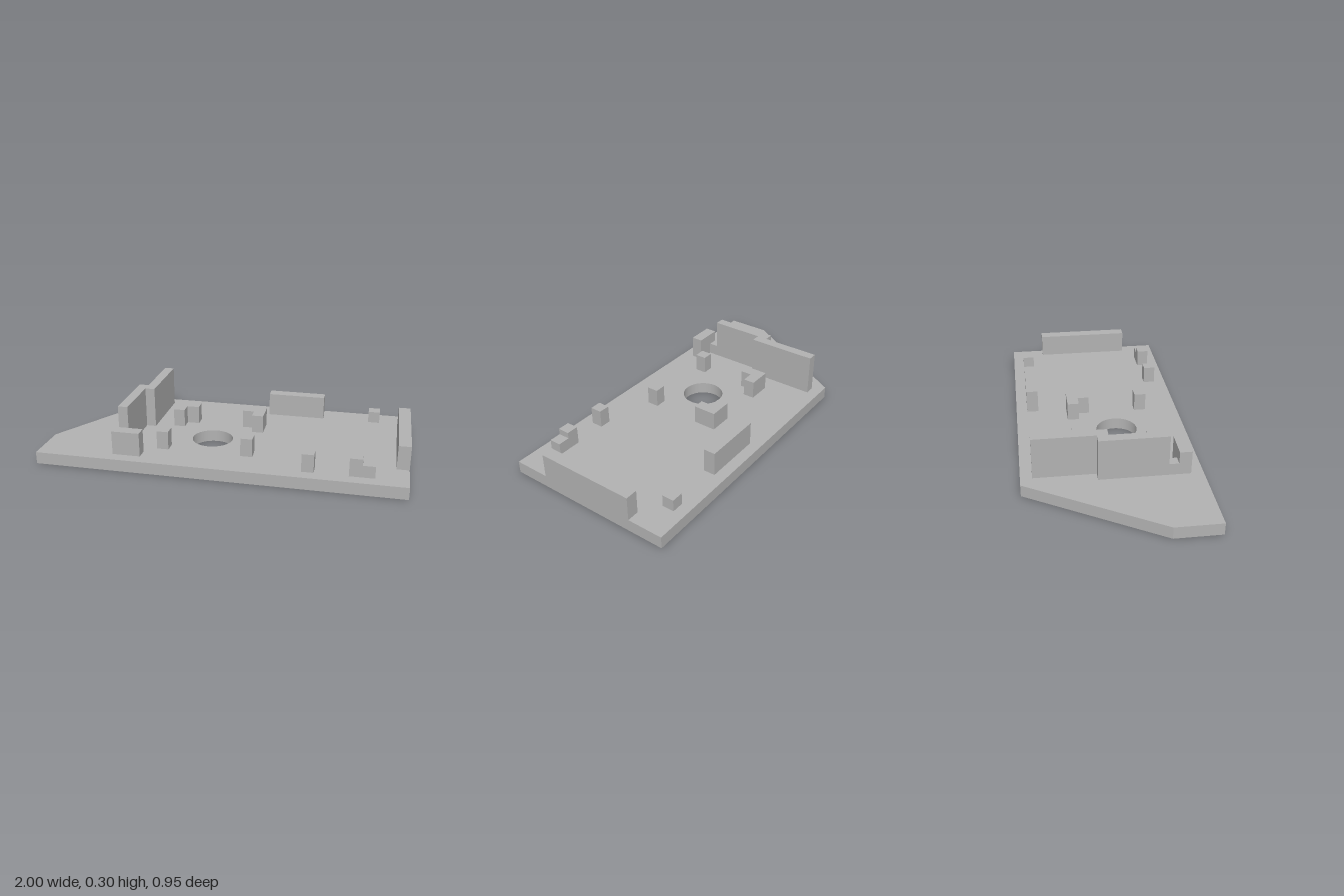
import * as THREE from 'three';

const BASE_TOP = 0.067;

// Shape from plan points given as [x, z]
const plan = (points) => new THREE.Shape(points.map(([x, z]) => new THREE.Vector2(x, -z)));

// Extrude a plan shape upwards between two heights
function prism(shape, y0, y1) {
  const geometry = new THREE.ExtrudeGeometry(shape, { depth: y1 - y0, bevelEnabled: false, curveSegments: 48 });
  geometry.rotateX(-Math.PI / 2);
  geometry.translate(0, y0, 0);
  return geometry;
}

export function createModel() {
  const group = new THREE.Group();
  const grey = new THREE.MeshStandardMaterial({ color: 0xb2b2b2 });
  grey.name = 'grey';

  const add = (name, geometry) => {
    const mesh = new THREE.Mesh(geometry, grey);
    mesh.name = name;
    group.add(mesh);
  };
  const raised = (name, points, top) => add(name, prism(plan(points), BASE_TOP, top));
  const block = (name, x0, x1, z0, z1, top) =>
    raised(name, [[x0, z1], [x1, z1], [x1, z0], [x0, z0]], top);

  // Base plate with one cut corner and a round hole
  const base = plan([[-1, 0.475], [1, 0.475], [1, -0.475], [-0.58, -0.475], [-1, 0.225]]);
  base.holes.push(new THREE.Path().absarc(-0.096, -0.087, 0.115, 0, Math.PI * 2, true));
  add('basePlate', prism(base, 0, BASE_TOP));

  // Tall wall with a sideways jog
  raised('tallWall', [
    [-0.58, 0.29], [-0.525, 0.29], [-0.525, -0.018], [-0.47, -0.018],
    [-0.47, -0.412], [-0.525, -0.412], [-0.525, -0.078], [-0.58, -0.078],
  ], 0.3);
  block('wallStep', -0.58, -0.525, 0.29, 0.342, 0.133);
  block('frontCornerWall', -0.58, -0.425, 0.342, 0.408, 0.2);

  // Edge walls
  block('backWall', 0.16, 0.492, -0.412, -0.346, 0.2);
  block('sideWall', 0.933, 1, -0.278, 0.275, 0.2);

  // Four supports around the hole: two L-shaped at the back, two square at the front
  raised('supportBackRight', [
    [-0.365, -0.05], [-0.3, -0.05], [-0.3, -0.115], [-0.23, -0.115], [-0.23, -0.18], [-0.365, -0.18],
  ], 0.17);
  raised('supportBackLeft', [
    [0.105, -0.05], [0.17, -0.05], [0.17, -0.18], [0.038, -0.18], [0.038, -0.115], [0.105, -0.115],
  ], 0.17);
  block('supportFrontRight', -0.365, -0.3, 0.222, 0.288, 0.17);
  block('supportFrontLeft', 0.105, 0.17, 0.222, 0.288, 0.17);

  // Small posts along the front and back edges
  block('frontPost', 0.45, 0.515, 0.342, 0.408, 0.167);
  block('steppedPostHigh', 0.695, 0.762, 0.342, 0.408, 0.167);
  block('steppedPostLow', 0.762, 0.828, 0.342, 0.408, 0.133);
  block('backPost', 0.762, 0.828, -0.412, -0.346, 0.133);

  return group;
}
